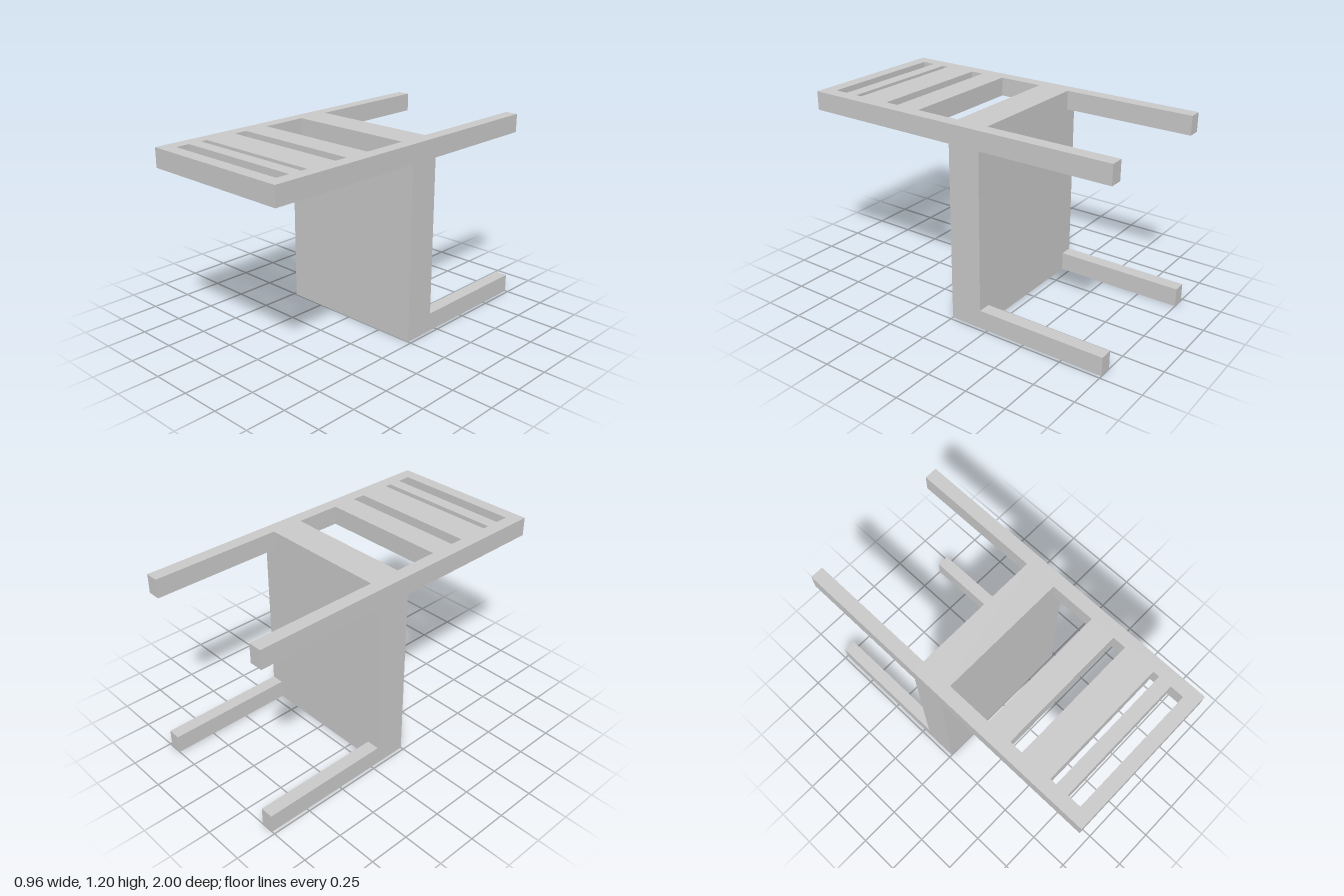
import * as THREE from 'three';

const material = new THREE.MeshStandardMaterial({ color: 0xcccccc, flatShading: true });

const HALF = 0.48;    // half width of the chair
const INNER = 0.4;    // inner edge of posts and legs
const HEIGHT = 1.2;
const THICK = 0.115;  // thickness of backrest and legs
const SEAT = 0.2;     // seat thickness

// Box given by its lower and upper corners
function block(name, min, max) {
  const size = max.map((v, i) => v - min[i]);
  const mesh = new THREE.Mesh(new THREE.BoxGeometry(...size), material);
  mesh.position.set(...min.map((v, i) => (v + max[i]) / 2));
  mesh.name = name;
  return mesh;
}

// Backrest: two posts joined by slats, lying flat, open next to the seat
function backrest() {
  const points = [
    [-HALF, 0], [-INNER, 0], [-INNER, 0.28], [INNER, 0.28],
    [INNER, 0], [HALF, 0], [HALF, 1], [-HALF, 1],
  ].map(([x, z]) => new THREE.Vector2(x, z));
  const shape = new THREE.Shape(points);

  // Gaps between the slats
  for (const [near, far] of [[0.436, 0.518], [0.716, 0.756], [0.836, 0.92]]) {
    shape.holes.push(new THREE.Path([
      new THREE.Vector2(-INNER, near), new THREE.Vector2(-INNER, far),
      new THREE.Vector2(INNER, far), new THREE.Vector2(INNER, near),
    ]));
  }

  const geometry = new THREE.ExtrudeGeometry(shape, { depth: THICK, bevelEnabled: false });
  geometry.rotateX(Math.PI / 2);
  const mesh = new THREE.Mesh(geometry, material);
  mesh.position.y = HEIGHT;
  mesh.name = 'backrest';
  return mesh;
}

export function createModel() {
  const chair = new THREE.Group();
  chair.name = 'chair';

  // The chair is tipped over: the seat stands upright, the legs point backwards
  chair.add(block('seat', [-HALF, 0, -SEAT], [HALF, HEIGHT, 0]));
  chair.add(backrest());

  // Four legs
  for (const [side, x] of [['right', -HALF], ['left', INNER]]) {
    for (const [level, y] of [['lower', 0], ['upper', HEIGHT - THICK]]) {
      chair.add(block(`${level} ${side} leg`, [x, y, -1], [x + HALF - INNER, y + THICK, -SEAT]));
    }
  }
  return chair;
}
